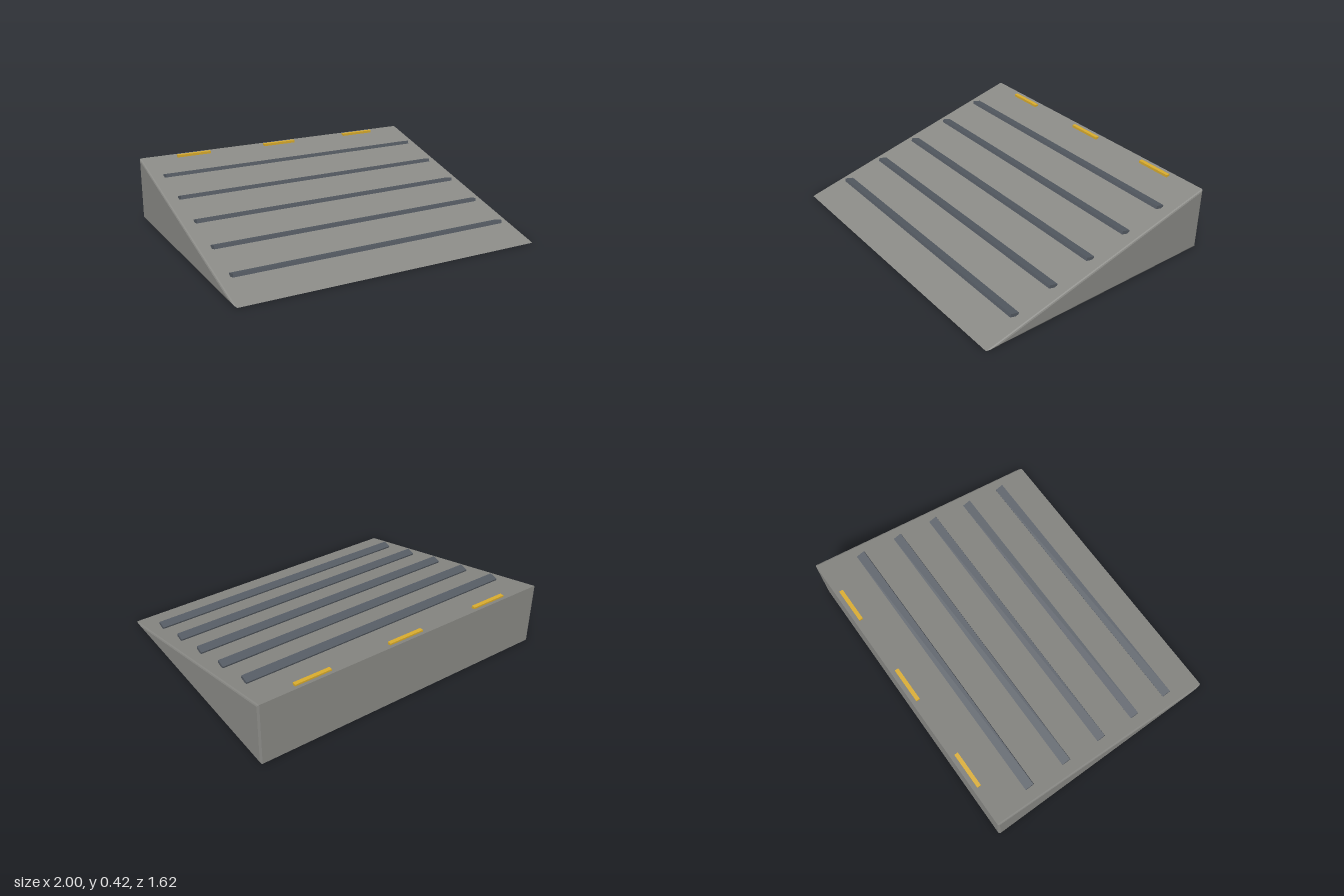
import * as THREE from 'three';

const LENGTH = 1.62, HEIGHT = 0.413, BEVEL = 0.011;

// Wedge lofted across x from triangles that shrink towards their incentre at the bevelled sides
function wedgeGeometry() {
  const back = -LENGTH / 2;
  const r = (LENGTH + HEIGHT - Math.hypot(LENGTH, HEIGHT)) / 2;
  const centre = [back + r, r];
  const corners = [[-back, 0], [back, 0], [back, HEIGHT]];
  const half = [[1 - BEVEL, 0], [1 - BEVEL * 0.3, BEVEL * 0.3], [1, BEVEL]];
  const stations = [...half.map(([x, d]) => [-x, d]).reverse(), ...half];
  const rings = stations.map(([x, d]) => corners.map(([z, y]) => {
    const k = 1 - d / r;
    return [x, centre[1] + (y - centre[1]) * k, centre[0] + (z - centre[0]) * k];
  }));
  const pos = [];
  const tri = (...pts) => pts.forEach((p) => pos.push(...p));
  for (let i = 0; i < rings.length - 1; i++) {
    const p = rings[i], q = rings[i + 1];
    for (let j = 0; j < 3; j++) {
      const k = (j + 1) % 3;
      tri(p[j], q[k], q[j]);
      tri(p[j], p[k], q[k]);
    }
  }
  const first = rings[0], last = rings[rings.length - 1];
  tri(first[0], first[2], first[1]);
  tri(last[0], last[1], last[2]);
  const g = new THREE.BufferGeometry();
  g.setAttribute('position', new THREE.Float32BufferAttribute(pos, 3));
  g.computeVertexNormals();
  return g;
}

export function createModel() {
  const model = new THREE.Group();
  model.name = 'ramp';
  const material = (name, color) => {
    const m = new THREE.MeshStandardMaterial({ color });
    m.name = name;
    return m;
  };
  const concrete = material('concrete grey', 0x8a8a86);
  const rubber = material('dark slate', 0x555b63);
  const yellow = material('marker yellow', 0xd9ac2e);

  const add = (name, geometry, mat, x, y, z) => {
    const mesh = new THREE.Mesh(geometry, mat);
    mesh.name = name;
    mesh.position.set(x, y, z);
    model.add(mesh);
    return mesh;
  };

  add('rampBody', wedgeGeometry(), concrete, 0, 0, 0);

  // Grip strips, each tipped up at its front edge
  const strip = new THREE.BoxGeometry(1.84, 0.021, 0.057);
  for (let i = 0; i < 5; i++) {
    const grip = add('gripStrip' + (i + 1), strip, rubber, 0, 0.078 + i * 0.0695, 0.564 - i * 0.273);
    grip.rotation.x = -0.25;
  }

  // Markers along the top edge
  const marker = new THREE.BoxGeometry(0.235, 0.016, 0.025);
  [-0.635, 0, 0.635].forEach((x, i) => add('edgeMarker' + (i + 1), marker, yellow, x, 0.409, -0.77));

  return model;
}
